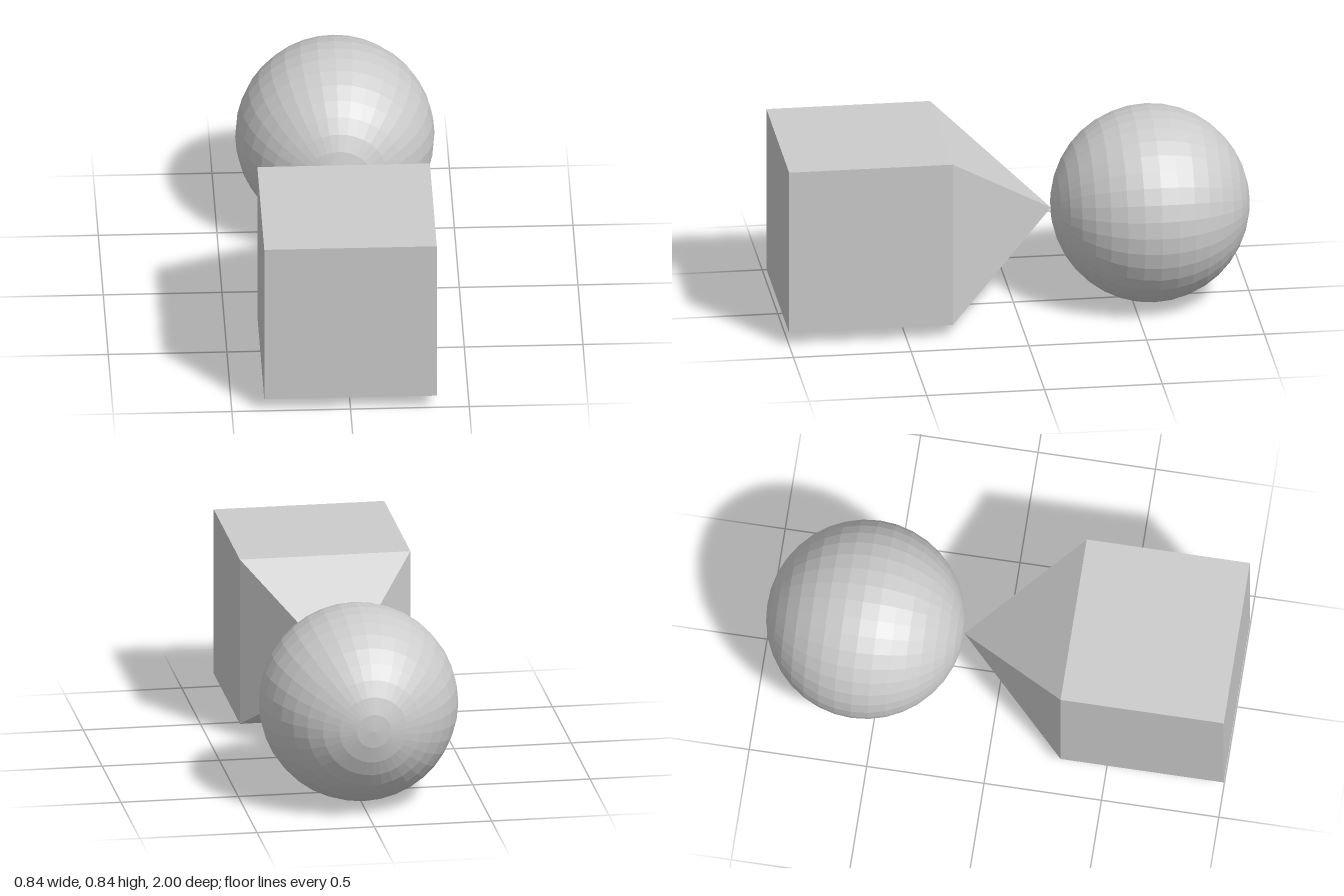
import * as THREE from 'three';

export function createModel() {
  const group = new THREE.Group();
  const material = new THREE.MeshStandardMaterial({ color: 0xcccccc, flatShading: true });
  const radius = 0.42;    // ball radius, also the height of the shared axis
  const half = 0.3635;    // half width of the block
  const blockBack = 0.305;
  const tip = -0.16;      // where the pyramid meets the ball

  const add = (name, geometry, z) => {
    const mesh = new THREE.Mesh(geometry, material);
    mesh.name = name;
    mesh.position.set(0, radius, z);
    group.add(mesh);
  };

  // Square block at the front
  add('block', new THREE.BoxGeometry(half * 2, half * 2, 1 - blockBack), (1 + blockBack) / 2);

  // Four-sided pyramid tapering backwards from the block
  const pyramid = new THREE.ConeGeometry(half * Math.SQRT2, blockBack - tip, 4, 1, true);
  pyramid.rotateY(Math.PI / 4).rotateX(-Math.PI / 2);
  add('pyramid', pyramid, (blockBack + tip) / 2);

  // Faceted ball at the back, poles along z
  add('ball', new THREE.SphereGeometry(radius, 36, 18).rotateX(-Math.PI / 2), radius - 1);

  return group;
}
